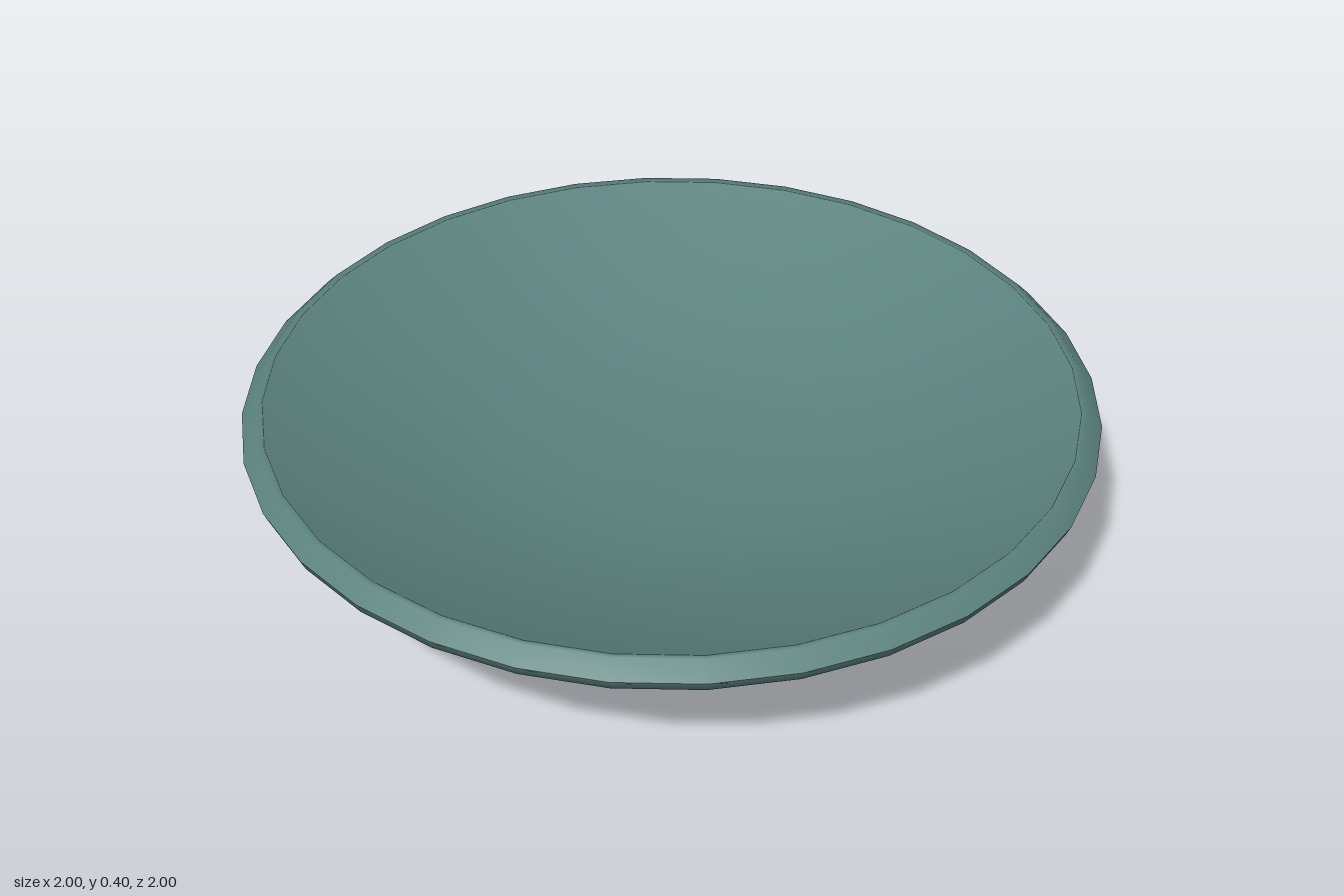
import * as THREE from 'three';

export function createModel() {
  const group = new THREE.Group();
  const glaze = new THREE.MeshStandardMaterial({ color: 0x5b827e });
  glaze.name = 'tealGlaze';

  // Each surface is a smooth lathe; creases fall between the parts.
  const turn = (name, profile, sides) => {
    const points = profile.map(([r, y]) => new THREE.Vector2(r, y));
    const mesh = new THREE.Mesh(new THREE.LatheGeometry(points, sides), glaze);
    mesh.name = name;
    group.add(mesh);
  };

  // Bowl: underside, bevelled lip and shallow hollow
  turn('bowlOutside', [[0.4, 0.11], [0.43, 0.12], [0.63, 0.19], [0.84, 0.26], [0.99, 0.34], [1, 0.365]], 32);
  turn('rimLip', [[1, 0.365], [0.965, 0.4], [0.95, 0.397]], 32);
  turn('bowlInside', [[0.95, 0.397], [0.82, 0.335], [0.62, 0.26], [0.42, 0.198], [0.2, 0.17], [0, 0.165]], 32);

  // Foot: flared ring with a slightly hollow base
  turn('foot', [[0.45, 0], [0.47, 0.04], [0.44, 0.08], [0.432, 0.125]], 16);
  turn('footBase', [[0, 0.05], [0.25, 0.045], [0.4, 0.025], [0.45, 0]], 16);

  return group;
}
